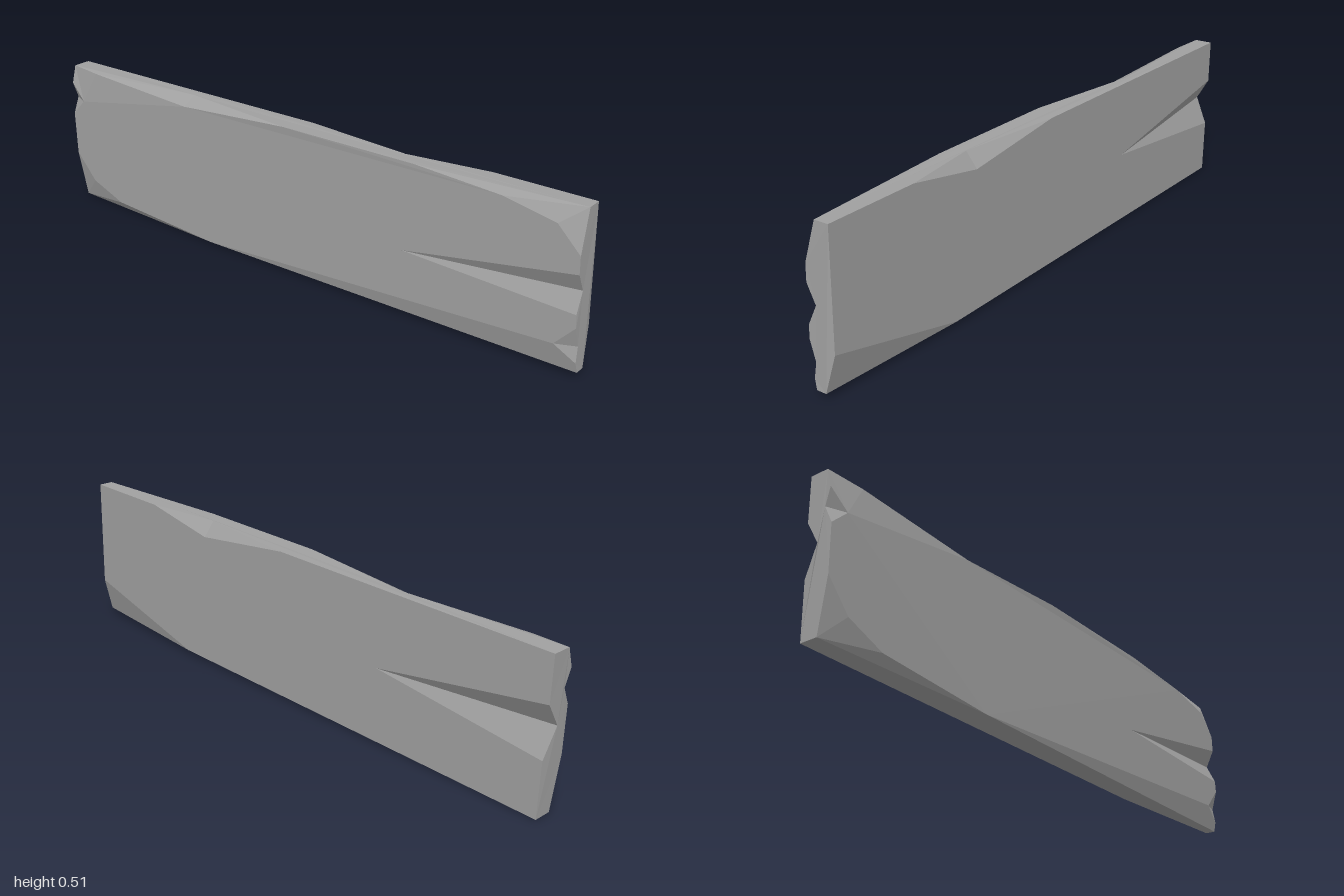
import * as THREE from 'three';

const T = 0.043; // half thickness

// Stations run round the outline, anticlockwise seen from the front.
// Each is [face point] or [face point, rim point]; where they differ the edge is chipped.
const FRONT = [
  [[-0.91, 0.08, T], [-0.985, 0, 0.015]], // bottom right-hand corner of the board
  [[-0.78, 0.03, T], [-0.985, 0, 0.015]],
  [[-0.35, 0.007, T]],
  [[0.93, 0.095, T], [1, 0.018, 0.023]], // bottom left-hand corner
  [[0.93, 0.095, T], [0.997, 0.05, 0.031]],
  [[0.93, 0.095, T], [0.995, 0.1, 0.023]],
  [[0.993, 0.165, T]],
  [[0.99, 0.205, T]],
  [[0.42, 0.22, T], [0.988, 0.267, 0.014]], // long split
  [[0.987, 0.325, T]],
  [[0.985, 0.38, T]],
  [[0.91, 0.455, T], [0.98, 0.508, 0.005]], // top left-hand corner
  [[0.74, 0.487, T], [0.98, 0.508, 0.005]],
  [[0.45, 0.503, T]],
  [[-0.03, 0.499, T]],
  [[-0.45, 0.467, 0.04], [-0.45, 0.494, -0.01]], // top edge chip
  [[-0.88, 0.486, 0.03], [-1, 0.49, 0.018]], // top right-hand corner
  [[-0.94, 0.375, T], [-1, 0.43, 0.035]],
  [[-0.94, 0.375, T], [-0.997, 0.375, 0.017]],
  [[-0.94, 0.375, T], [-0.994, 0.32, T]],
  [[-0.99, 0.17, T]],
];
const BACK = [
  [[-0.985, 0, -T]],
  [[0.5, 0.014, -T]],
  [[0.99, 0.14, -T], [1, 0.018, -0.01]], // broken lower corner
  [[0.99, 0.14, -T]],
  [[0.98, 0.508, -T]],
  [[0.66, 0.505, -T]],
  [[0.39, 0.455, -T], [0.39, 0.503, -0.005]], // top edge chip
  [[0.02, 0.499, -T]],
  [[-1, 0.49, -T]],
  [[-0.997, 0.345, -T]],
  [[-0.39, 0.245, -T], [-0.997, 0.272, 0]], // long split
  [[-0.99, 0.18, -T]],
];
// Station indices of the four corners, bottom right-hand corner first
const FRONT_CORNERS = [0, 3, 11, 16, 21];
const BACK_CORNERS = [0, 2, 4, 8, 12];
const OUTWARD = [[0, -1, 0], [1, 0, 0], [0, 1, 0], [-1, 0, 0]];

const vec = (p) => new THREE.Vector3(...p);
const face = (s) => vec(s[0]);
const rim = (s) => vec(s[1] || s[0]);

function makeGeometry(triangles) {
  const points = triangles.filter((t) => new THREE.Triangle(...t).getArea() > 1e-7).flat();
  const geometry = new THREE.BufferGeometry().setFromPoints(points);
  geometry.computeVertexNormals(); // unshared corners give flat facets
  return geometry;
}

// Fill a closed loop, with every triangle facing the outward direction
function fillLoop(loop, outward) {
  const pts = loop.filter((p, i) => p.distanceTo(loop[(i + 1) % loop.length]) > 1e-6);
  const out = vec(outward);
  const flat = pts.map((p) =>
    out.x ? new THREE.Vector2(p.y, p.z) : out.y ? new THREE.Vector2(p.x, p.z) : new THREE.Vector2(p.x, p.y));
  const normal = new THREE.Vector3();
  return THREE.ShapeUtils.triangulateShape(flat, []).map(([a, b, c]) => {
    const t = [pts[a], pts[b], pts[c]];
    new THREE.Triangle(...t).getNormal(normal);
    return normal.dot(out) < 0 ? t.reverse() : t;
  });
}

// Facets between a face outline and its rim outline
function chips(stations, flip) {
  return stations.flatMap((s, i) => {
    const n = stations[(i + 1) % stations.length];
    const tris = [[face(n), face(s), rim(s)], [face(n), rim(s), rim(n)]];
    return flip ? tris.map((t) => t.reverse()) : tris;
  });
}

// Rim points of one side, both corners included
function sidePoints(stations, corners, k) {
  const pts = [];
  for (let i = corners[k]; i <= corners[k + 1]; i++) pts.push(rim(stations[i % stations.length]));
  return pts;
}

export function createModel() {
  const group = new THREE.Group();
  group.name = 'chippedPlank';
  const stone = new THREE.MeshStandardMaterial({ color: 0xa0a0a0, flatShading: true });
  stone.name = 'grey';

  const add = (name, triangles) => {
    const mesh = new THREE.Mesh(makeGeometry(triangles), stone);
    mesh.name = name;
    group.add(mesh);
  };

  // Broad faces
  add('frontFace', fillLoop(FRONT.map(face), [0, 0, 1]));
  add('backFace', fillLoop(BACK.map(face), [0, 0, -1]));

  // Chips and splits along the edges
  add('frontChips', chips(FRONT, false));
  add('backChips', chips(BACK, true));

  // Narrow sides
  ['bottomEdge', 'leftEnd', 'topEdge', 'rightEnd'].forEach((name, k) => {
    const loop = [
      ...sidePoints(FRONT, FRONT_CORNERS, k),
      ...sidePoints(BACK, BACK_CORNERS, k).reverse(),
    ];
    add(name, fillLoop(loop, OUTWARD[k]));
  });
  return group;
}
